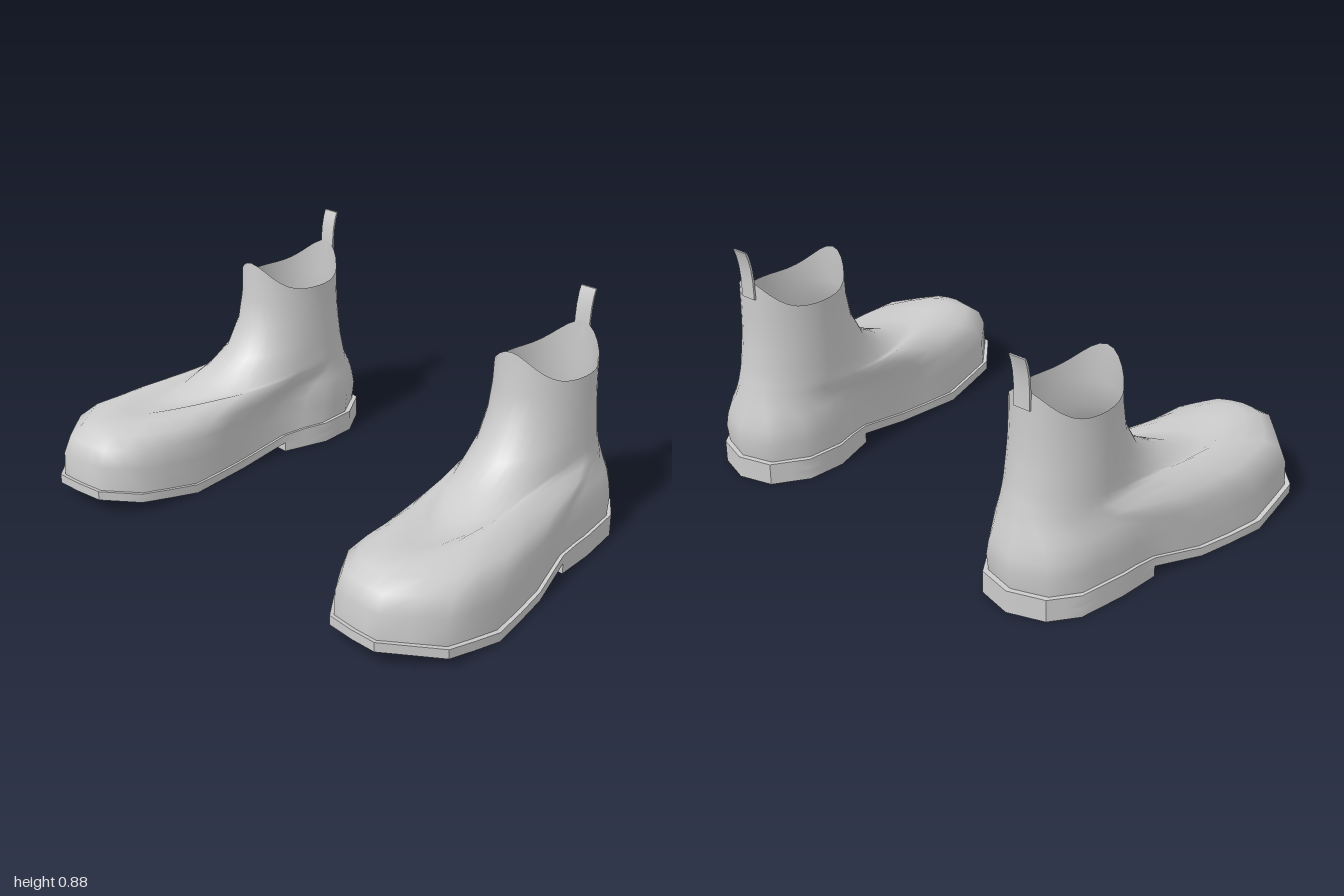
import * as THREE from 'three';
import { toCreasedNormals } from 'three/addons/utils/BufferGeometryUtils.js';

const { lerp, smoothstep } = THREE.MathUtils;

// Sole outline [x, z] of the left boot: toe, outer side, heel, inner side.
const corners = [
  [0.71, 0.672], [0.81, 0.674], [0.976, 0.51], [0.997, 0.28], [0.945, 0], [0.89, -0.2],
  [0.88, -0.36], [0.85, -0.54], [0.78, -0.636], [0.65, -0.68], [0.52, -0.645], [0.44, -0.52],
  [0.43, -0.37], [0.484, -0.19], [0.495, 0.03], [0.468, 0.29], [0.5, 0.535], [0.6, 0.658],
];
// Every edge split in two, so the upper can round off above the angular sole.
const outline = corners.flatMap((p, i) => {
  const q = corners[(i + 1) % corners.length];
  return [p, [(p[0] + q[0]) / 2, (p[1] + q[1]) / 2]];
});
const N = outline.length;

// Piecewise-linear height along z.
const heightCurve = (points) => (z) => {
  for (let i = 1; i < points.length; i++) {
    const [z0, y0] = points[i - 1], [z1, y1] = points[i];
    if (z >= z1) return lerp(y0, y1, Math.max(0, (z - z0) / (z1 - z0)));
  }
  return points[points.length - 1][1];
};
const soleTop = heightCurve([[0.68, 0.1], [0.3, 0.035], [0.05, 0.03], [-0.2, 0.073], [-0.3, 0.083], [-0.69, 0.083]]);
const soleBottom = heightCurve([[0.68, 0.065], [0.3, 0], [0.03, 0], [-0.2, 0.04], [-0.69, 0.04]]);

// Upper, from sole to collar: front z, front y, back z, back y,
// roundness (0 = sole outline, 1 = egg shape), half width, share of the sole's dip.
const levels = [
  [0.658, 0.097, -0.66, 0.08, 0, 0.2, 1],
  [0.655, 0.19, -0.672, 0.15, 0.02, 0.2, 0.7],
  [0.63, 0.25, -0.663, 0.2, 0.1, 0.195, 0.4],
  [0.58, 0.288, -0.65, 0.25, 0.35, 0.19, 0.3],
  [0.51, 0.308, -0.635, 0.29, 0.72, 0.185, 0.2],
  [0.4, 0.295, -0.622, 0.34, 0.95, 0.18, 0],
  [0.28, 0.276, -0.612, 0.38, 1, 0.178, 0],
  [0.17, 0.285, -0.605, 0.41, 1, 0.176, 0],
  [0.05, 0.335, -0.6, 0.45, 1, 0.174, 0],
  [-0.07, 0.405, -0.594, 0.49, 1, 0.172, 0],
  [-0.14, 0.515, -0.588, 0.55, 1, 0.168, 0],
  [-0.165, 0.62, -0.586, 0.63, 1, 0.165, 0],
  [-0.172, 0.77, -0.585, 0.765, 1, 0.165, 0],
];

function upperRing([zf, yf, zb, yb, round, half, dip], level) {
  const isCollar = level === levels.length - 1;
  const widest = -0.38;
  return outline.map(([ox, oz], j) => {
    const a = (2 * Math.PI * j) / N, c = Math.cos(a);
    const eggZ = widest + c * (c > 0 ? zf - widest : widest - zb);
    const eggX = 0.64 + 0.08 * smoothstep(eggZ, -0.2, 0.35) + half * Math.sin(a);
    const footZ = lerp(zb, zf, (oz + 0.68) / 1.354);
    const footX = 0.68 + (ox - 0.68) * 0.945;
    const z = lerp(footZ, eggZ, round);
    const f = (z - zb) / (zf - zb);
    let y = lerp(yb, yf, f) + dip * (soleTop(z) - lerp(0.083, 0.1, f));
    if (isCollar) y -= 0.1 * (1 - Math.abs(2 * f - 1) ** 4); // scooped sides
    return [lerp(footX, eggX, round), y, z];
  });
}

// Joins closed rings of points into a skin; side -1 mirrors it.
function skin(rings, side, capped) {
  if (capped) {
    const middle = (ring) => ring.map(() => [0, 1, 2].map((k) => ring.reduce((s, p) => s + p[k], 0) / ring.length));
    rings = [middle(rings[0]), ...rings, middle(rings[rings.length - 1])];
  }
  const n = rings[0].length, index = [];
  for (let i = 0; i < rings.length - 1; i++) {
    for (let j = 0; j < n; j++) {
      const a = i * n + j, b = i * n + ((j + 1) % n), c = b + n, d = a + n;
      index.push(...(side > 0 ? [a, b, c, a, c, d] : [a, c, b, a, d, c]));
    }
  }
  const geo = new THREE.BufferGeometry();
  const positions = rings.flat().flatMap(([x, y, z]) => [x * side, y, z]);
  geo.setAttribute('position', new THREE.Float32BufferAttribute(positions, 3));
  geo.setIndex(index);
  geo.computeVertexNormals();
  return capped ? toCreasedNormals(geo, 0.6) : geo;
}

// Slices across the sole, from toe to heel, between two height curves.
function soleSlices(first, bottom, top) {
  const slices = [];
  for (let i = first; i <= N / 2; i++) {
    const [xo, zo] = outline[i], [xi, zi] = outline[(N - i) % N];
    slices.push([[xo, bottom(zo), zo], [xi, bottom(zi), zi], [xi, top(zi), zi], [xo, top(zo), zo]]);
  }
  return slices;
}

function boot(side) {
  const group = new THREE.Group();
  group.name = side > 0 ? 'leftBoot' : 'rightBoot';
  const add = (name, geometry, material) => {
    const mesh = new THREE.Mesh(geometry, material);
    mesh.name = name;
    group.add(mesh);
  };
  const grey = new THREE.MeshStandardMaterial({ color: 0xcccccc });
  const leather = new THREE.MeshStandardMaterial({ color: 0xcccccc, side: THREE.DoubleSide });

  add('upper', skin(levels.map(upperRing), side, false), leather);
  add('sole', skin(soleSlices(0, soleBottom, soleTop), side, true), grey);
  add('heel', skin(soleSlices(10, () => 0, soleBottom), side, true), grey);

  // Pull tab curving back above the collar
  const tab = [[0.7, -0.588], [0.77, -0.589], [0.82, -0.594], [0.86, -0.603], [0.885, -0.613]];
  const strip = tab.map(([y, z]) => [
    [0.602, y, z + 0.004], [0.666, y, z + 0.004], [0.666, y, z - 0.004], [0.602, y, z - 0.004],
  ]);
  add('pullTab', skin(strip, side, true), grey);
  return group;
}

export function createModel() {
  const model = new THREE.Group();
  model.name = 'boots';
  model.add(boot(1), boot(-1));
  return model;
}
